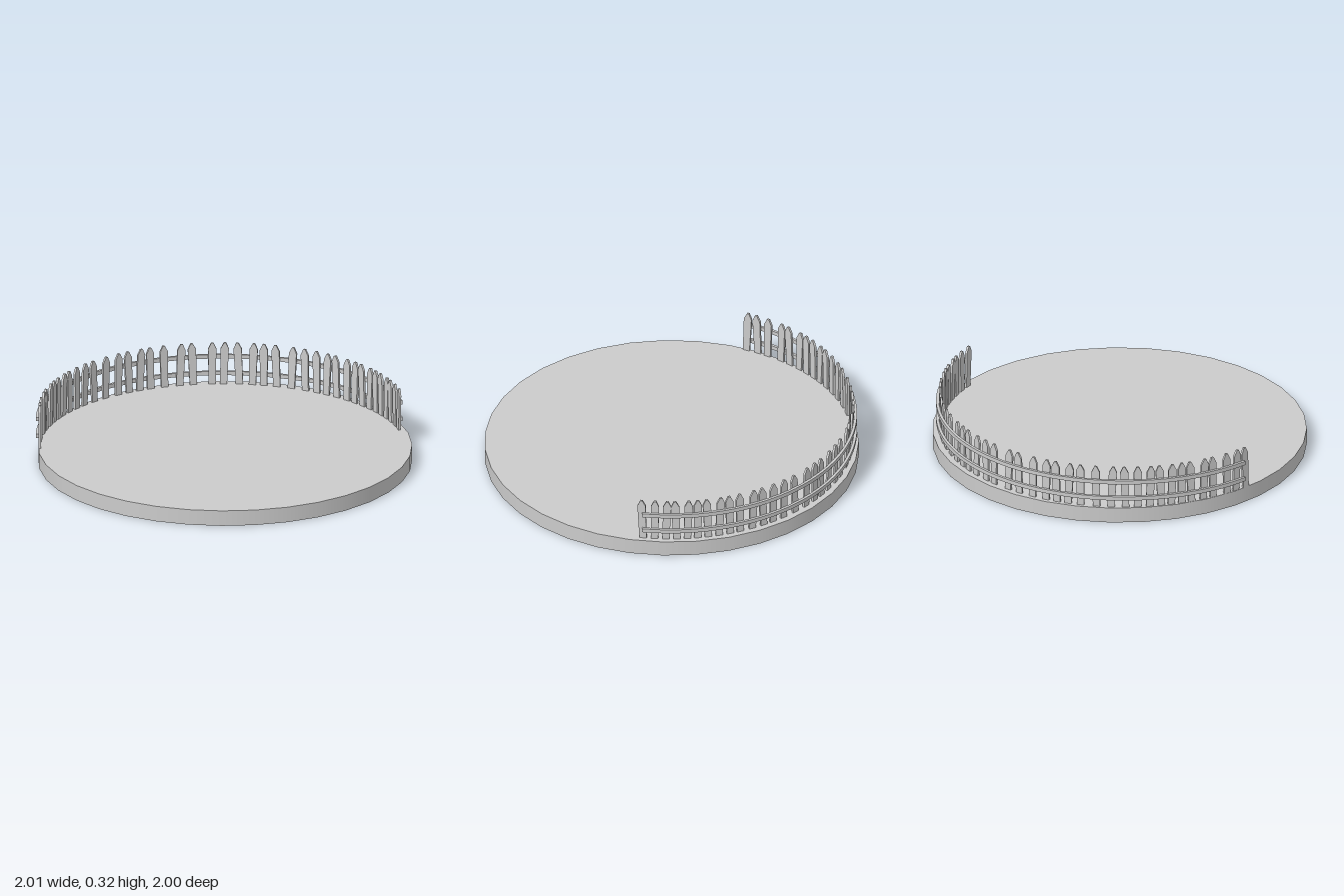
import * as THREE from 'three';

const RAD = Math.PI / 180;
const BASE_H = 0.085;
const CX = -0.013, RX = 0.977, RZ = 0.962; // fence curve, seen from above

// Uneven picket spacing around the back, in degrees from +x
const ANGLES = [
  14.2, 17.9, 21.5, 25, 28.3, 31.6, 35, 38.5, 42.2, 45.6, 49.8, 53.9, 57.4, 61.5,
  66.4, 71.2, 75.5, 79.1, 83.2, 88.2, 91.8, 97.7, 102.1, 107, 111.7, 115.5, 119.2,
  123.3, 128.4, 133, 137.6, 141.4, 145.2, 149, 152.2, 155.6, 159, 163, 166.6,
  171.8, 175.3, 179.4,
];

// Pointed board, origin at its foot
function picketGeometry() {
  const s = new THREE.Shape([
    [-0.019, -0.01], [0.019, -0.01], [0.022, 0.2], [0.006, 0.233], [-0.006, 0.233], [-0.022, 0.2],
  ].map(([x, y]) => new THREE.Vector2(x, y)));
  return new THREE.ExtrudeGeometry(s, { depth: 0.012, bevelEnabled: false }).translate(0, 0, -0.006);
}

// Curved strip running just outside the pickets
function railGeometry() {
  const s = new THREE.Shape();
  const a = 14 * RAD, b = 178.3 * RAD;
  s.absellipse(CX, 0, RX + 0.021, RZ + 0.021, a, b, false, 0);
  s.absellipse(CX, 0, RX + 0.006, RZ + 0.006, b, a, true, 0);
  s.closePath();
  return new THREE.ExtrudeGeometry(s, { depth: 0.022, bevelEnabled: false, curveSegments: 40 })
    .rotateX(-Math.PI / 2);
}

export function createModel() {
  const model = new THREE.Group();
  const material = new THREE.MeshStandardMaterial({ color: 0xcccccc });
  const add = (parent, name, geometry) => {
    const mesh = new THREE.Mesh(geometry, material);
    mesh.name = name;
    parent.add(mesh);
    return mesh;
  };

  // Round base
  const disc = new THREE.CylinderGeometry(1, 1, BASE_H, 35).rotateY(Math.PI / 2);
  add(model, 'base', disc).position.y = BASE_H / 2;

  const fence = new THREE.Group();
  fence.name = 'fence';
  model.add(fence);

  // Pickets, each leaning a little
  const picket = picketGeometry();
  ANGLES.forEach((deg, i) => {
    const t = deg * RAD;
    const mesh = add(fence, 'picket', picket);
    mesh.position.set(CX + RX * Math.cos(t), BASE_H, -RZ * Math.sin(t));
    mesh.rotation.set(0, t + Math.PI / 2, 0.05 * Math.sin(i * 2.3 + 1));
  });

  // Two rails
  const rail = railGeometry();
  add(fence, 'lowerRail', rail).position.y = 0.13;
  add(fence, 'upperRail', rail).position.y = 0.225;

  return model;
}
